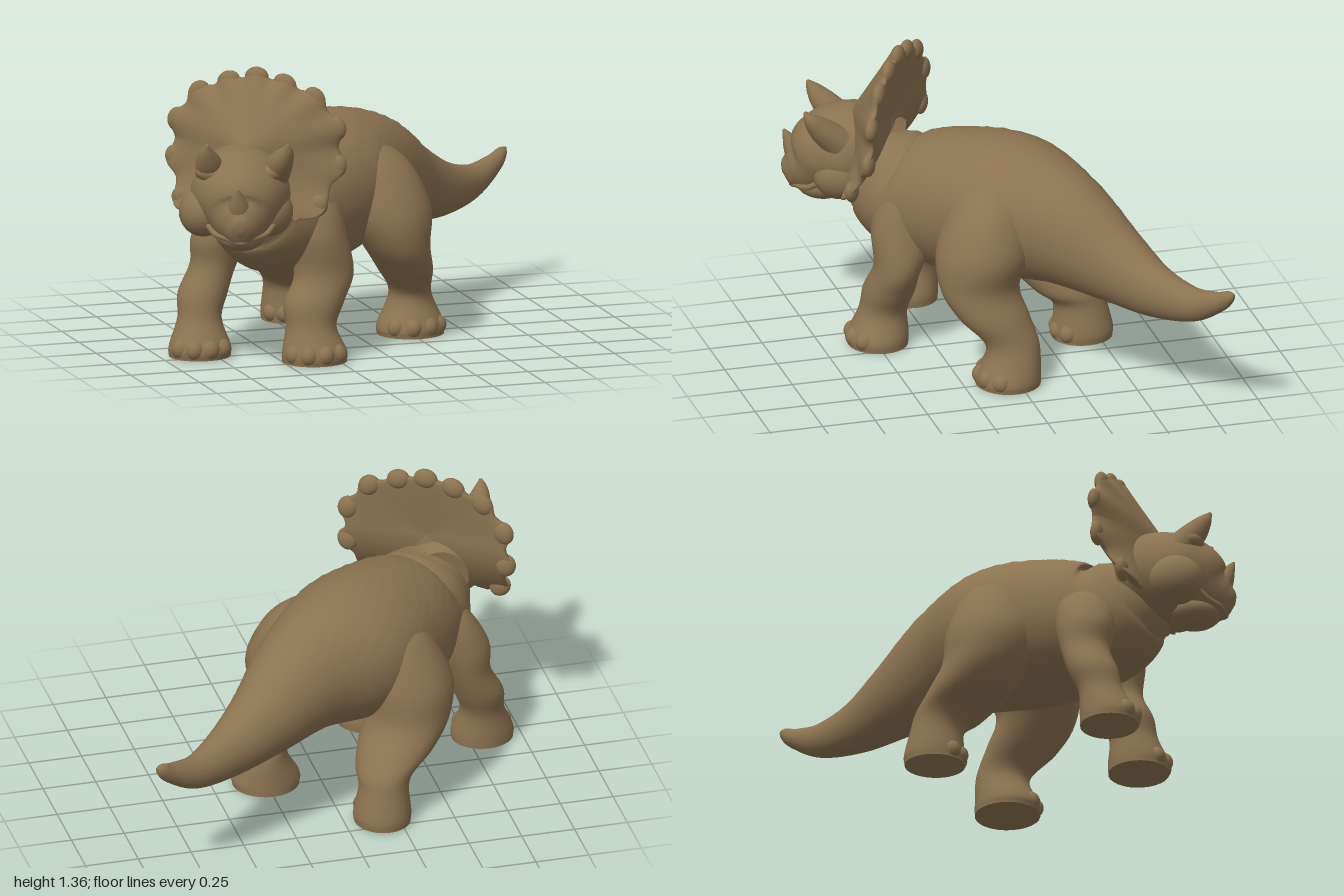
import * as THREE from 'three';
import { toCreasedNormals } from 'three/addons/utils/BufferGeometryUtils.js';

const hide = new THREE.MeshStandardMaterial({ color: 0x8b7350 });
hide.name = 'brownHide';

function add(parent, name, geometry) {
  const mesh = new THREE.Mesh(geometry, hide);
  mesh.name = name;
  parent.add(mesh);
  return mesh;
}

// Smooth skin through stations [x, y, z, halfWidth, halfHeight].
// level: rings stay horizontal (legs, listed top to bottom).
function loft(stations, { level = false, steps = 6, sides = 32, bump = 0 } = {}) {
  const path = new THREE.CatmullRomCurve3(stations.map(s => new THREE.Vector3(s[0], s[1], s[2])), false, 'catmullrom', 0.5);
  const size = new THREE.CatmullRomCurve3(stations.map(s => new THREE.Vector3(s[3], s[4], 0)), false, 'catmullrom', 0.5);
  const n = (stations.length - 1) * steps;
  const pos = [], index = [];
  const up = new THREE.Vector3(0, 1, 0);
  for (let i = 0; i <= n; i++) {
    const c = path.getPoint(i / n), r = size.getPoint(i / n), t = path.getTangent(i / n);
    const u = level ? new THREE.Vector3(1, 0, 0) : up.clone().cross(t).normalize();
    const v = level ? new THREE.Vector3(0, 0, 1) : t.clone().cross(u);
    for (let j = 0; j < sides; j++) {
      const a = j / sides * Math.PI * 2;
      const k = 1 + bump * Math.max(0, Math.sin(a)) * Math.sin(i * 2.3 + j) * Math.sin(j * 1.9 - i * 0.4);
      const p = c.clone().addScaledVector(u, Math.cos(a) * Math.max(r.x, 0.004) * k)
        .addScaledVector(v, Math.sin(a) * Math.max(r.y, 0.004) * k);
      pos.push(p.x, p.y, p.z);
    }
  }
  for (let i = 0; i < n; i++) for (let j = 0; j < sides; j++) {
    const a = i * sides + j, b = i * sides + (j + 1) % sides;
    index.push(a, b, a + sides, b, b + sides, a + sides);
  }
  // End caps
  const first = stations[0], last = stations[stations.length - 1], m = (n + 1) * sides;
  pos.push(first[0], first[1], first[2], last[0], last[1], last[2]);
  for (let j = 0; j < sides; j++) {
    const k = (j + 1) % sides;
    index.push(m, k, j, m + 1, n * sides + j, n * sides + k);
  }
  const g = new THREE.BufferGeometry();
  g.setAttribute('position', new THREE.Float32BufferAttribute(pos, 3));
  g.setIndex(index);
  return toCreasedNormals(g, 1);
}

function blob(parent, name, x, y, z, rx, ry, rz) {
  const mesh = add(parent, name, new THREE.SphereGeometry(1, 24, 16));
  mesh.position.set(x, y, z);
  mesh.scale.set(rx, ry, rz);
  return mesh;
}

function buildLeg(parent, name, stations, toeYaw) {
  const leg = new THREE.Group();
  leg.name = name;
  parent.add(leg);
  add(leg, 'limb', loft(stations, { level: true, sides: 28 }));
  // Four stubby toes around the front of the foot
  const [x, , z, rx, rz] = stations[stations.length - 1];
  for (let i = 0; i < 4; i++) {
    const a = toeYaw + (i - 1.5) * 0.62;
    const toe = blob(leg, 'toe', x + Math.sin(a) * rx * 0.77, 0.054, z + Math.cos(a) * rz * 0.77, 0.046, 0.048, 0.05);
    toe.rotation.y = a;
  }
}

function buildHead() {
  const head = new THREE.Group();
  head.name = 'head';
  head.position.set(-0.715, 0.82, 0.48);
  head.rotation.y = -0.31;
  add(head, 'skull', loft([
    [0, 0, -0.2, 0.12, 0.14], [0, 0.02, -0.06, 0.2, 0.2], [0, 0.01, 0.07, 0.23, 0.21],
    [0, -0.02, 0.16, 0.2, 0.19], [0, -0.075, 0.235, 0.14, 0.135], [0, -0.1, 0.295, 0.088, 0.098],
    [0, -0.11, 0.333, 0.046, 0.058], [0, -0.115, 0.348, 0.005, 0.005]]));
  blob(head, 'lowerJaw', 0, -0.165, 0.16, 0.115, 0.07, 0.125);
  // Lip ridge sweeping round the beak
  add(head, 'lip', new THREE.TubeGeometry(new THREE.CatmullRomCurve3([
    [-0.16, -0.1, 0.17], [-0.115, -0.145, 0.23], [-0.06, -0.155, 0.28], [0, -0.17, 0.305],
    [0.06, -0.155, 0.28], [0.115, -0.145, 0.23], [0.16, -0.1, 0.17]].map(p => new THREE.Vector3(...p))), 40, 0.014, 10));
  add(head, 'noseHorn', loft([[-0.005, -0.09, 0.25, 0.075, 0.065], [-0.01, -0.01, 0.295, 0.052, 0.046],
    [-0.013, 0.045, 0.32, 0.03, 0.028], [-0.015, 0.088, 0.342, 0.006, 0.006]], { sides: 18 }));
  for (const s of [-1, 1]) {
    blob(head, 'cheek', s * 0.15 - 0.02, -0.07, 0.08, 0.112, 0.115, 0.125);
    blob(head, 'eye', s * 0.142, 0.055, 0.19, 0.03, 0.032, 0.024);
    blob(head, 'nostrilRidge', s * 0.055, -0.06, 0.292, 0.03, 0.035, 0.028);
    const lid = add(head, 'eyelid', new THREE.TorusGeometry(0.038, 0.011, 8, 24));
    lid.position.set(s * 0.143, 0.055, 0.188);
    lid.rotation.set(-0.25, s * 0.6, 0, 'YXZ');
    const brow = blob(head, 'browRidge', s * 0.13, 0.125, 0.15, 0.08, 0.045, 0.06);
    brow.rotation.z = s * 0.15;
    add(head, 'browHorn', loft([[s * 0.14 + 0.01, 0.1, 0.09, 0.075, 0.075], [s * 0.165 + 0.018, 0.175, 0.165, 0.06, 0.058],
      [s * 0.182 + 0.026, 0.23, 0.21, 0.037, 0.035], [s * 0.185 + 0.03, 0.273, 0.238, 0.007, 0.007]], { sides: 18 }));
  }
  return head;
}

function buildFrill() {
  const frill = new THREE.Group();
  frill.name = 'frill';
  frill.position.set(-0.585, 1.02, 0.33);
  frill.rotation.y = -0.6;
  const { smoothstep, lerp } = THREE.MathUtils;
  // Rim radius by angle away from straight up, lobed at the lower corners
  const rim = d => {
    const side = 0.325 + 0.085 * smoothstep(d, 0.3, 1.4) + 0.025 * smoothstep(d, 1.6, 2.2);
    return lerp(side, 0.22, smoothstep(d, 2.4, 2.85));
  };
  // The lower lobes sweep forward round the cheeks
  const sweep = y => 1.7 * Math.min(0, y) ** 2;
  const step = 0.45;
  const g = new THREE.SphereGeometry(1, 128, 40);
  g.rotateX(Math.PI / 2);
  const p = g.attributes.position;
  for (let i = 0; i < p.count; i++) {
    const x = p.getX(i), y = p.getY(i), z = p.getZ(i);
    const d = Math.abs(Math.atan2(x, y)), s = Math.hypot(x, y);
    const scallop = d < 2.475 ? 0.022 * Math.cos(d / step * Math.PI * 2) * s ** 4 : 0;
    const k = rim(d) + scallop;
    // Funnel: the front runs forward to the brow, the back stays shallow
    const cone = (z > 0 ? 0.2 : 0.05) * (1 - s);
    const thick = 0.026 * Math.sqrt(Math.abs(z));
    p.setXYZ(i, x * k, y * k, Math.sign(z) * thick + cone + sweep(y * k));
  }
  g.computeVertexNormals();
  add(frill, 'frillShield', g);
  // Broad rounded knobs on the scallops
  for (let i = -5; i <= 5; i++) {
    const a = i * step, r = rim(Math.abs(a)) - 0.022, y = Math.cos(a) * r;
    const knob = blob(frill, 'frillKnob', Math.sin(a) * r, y, sweep(y), 0.056, 0.047, 0.03);
    knob.rotation.z = -a;
  }
  return frill;
}

export function createModel() {
  const model = new THREE.Group();
  model.name = 'hornedDinosaur';

  // Neck, trunk and tail in one curved sweep
  add(model, 'bodyAndTail', loft([
    [-0.67, 0.83, 0.45, 0.15, 0.16], [-0.6, 0.755, 0.38, 0.22, 0.235], [-0.5, 0.68, 0.28, 0.28, 0.285],
    [-0.31, 0.695, 0.1, 0.33, 0.335], [-0.1, 0.727, -0.08, 0.34, 0.333], [0.14, 0.705, -0.24, 0.25, 0.28],
    [0.39, 0.605, -0.42, 0.165, 0.19], [0.59, 0.54, -0.55, 0.11, 0.13], [0.77, 0.53, -0.675, 0.07, 0.085],
    [0.91, 0.585, -0.76, 0.042, 0.05], [0.97, 0.63, -0.8, 0.026, 0.03], [0.995, 0.65, -0.815, 0.006, 0.006],
  ], { steps: 10, sides: 56, bump: 0.012 }));

  buildLeg(model, 'frontLeftLeg', [
    [-0.38, 0.89, 0.27, 0.05, 0.05], [-0.345, 0.78, 0.31, 0.14, 0.135], [-0.325, 0.6, 0.36, 0.15, 0.165],
    [-0.29, 0.41, 0.415, 0.14, 0.108], [-0.345, 0.28, 0.44, 0.142, 0.118], [-0.368, 0.17, 0.463, 0.118, 0.112],
    [-0.36, 0.06, 0.49, 0.15, 0.142], [-0.36, 0.01, 0.49, 0.15, 0.14]], -0.2);
  buildLeg(model, 'frontRightLeg', [
    [-0.57, 0.8, 0.18, 0.05, 0.05], [-0.61, 0.7, 0.16, 0.135, 0.135], [-0.69, 0.55, 0.135, 0.14, 0.135],
    [-0.727, 0.42, 0.125, 0.107, 0.115], [-0.785, 0.29, 0.145, 0.115, 0.115], [-0.81, 0.18, 0.175, 0.102, 0.105],
    [-0.82, 0.06, 0.21, 0.143, 0.135], [-0.82, 0.01, 0.21, 0.143, 0.133]], -0.2);
  buildLeg(model, 'hindLeftLeg', [
    [-0.01, 0.95, 0.03, 0.07, 0.07], [0.05, 0.83, 0.075, 0.175, 0.165], [0.1, 0.63, 0.115, 0.215, 0.22],
    [0.145, 0.46, 0.15, 0.155, 0.185], [0.205, 0.33, 0.1, 0.125, 0.165], [0.255, 0.2, 0.025, 0.095, 0.125],
    [0.25, 0.06, 0.045, 0.155, 0.15], [0.25, 0.01, 0.045, 0.155, 0.15]], 0.1);
  buildLeg(model, 'hindRightLeg', [
    [-0.25, 0.92, -0.14, 0.07, 0.07], [-0.3, 0.82, -0.175, 0.155, 0.155], [-0.35, 0.62, -0.205, 0.21, 0.215],
    [-0.35, 0.46, -0.24, 0.195, 0.2], [-0.28, 0.34, -0.305, 0.18, 0.185], [-0.205, 0.25, -0.37, 0.135, 0.16],
    [-0.185, 0.18, -0.42, 0.115, 0.125], [-0.175, 0.06, -0.43, 0.132, 0.142], [-0.175, 0.01, -0.43, 0.13, 0.14]], -0.2);

  model.add(buildHead(), buildFrill());
  return model;
}
